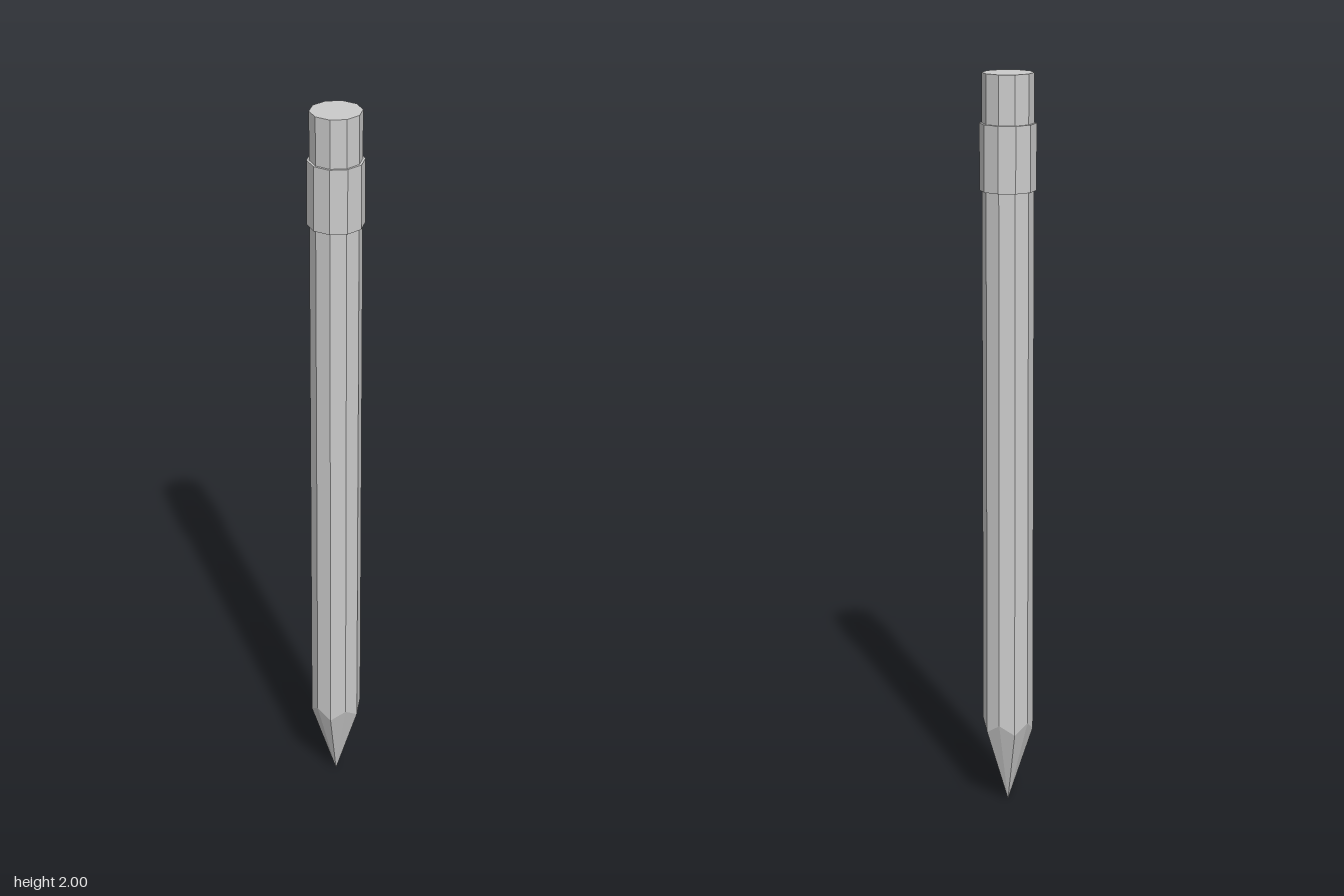
import * as THREE from 'three';

const SIDES = 10, R = 0.068, FERRULE_R = 0.0745;
const CUT_LOW = 0.21, CUT_HIGH = 0.237;

export function createModel() {
  const group = new THREE.Group();
  const material = new THREE.MeshStandardMaterial({ color: 0xcccccc, flatShading: true });

  // Ten-sided section between two heights, with a corner on the x axis
  const section = (name, rTop, rBottom, y0, y1, open) => {
    const geo = new THREE.CylinderGeometry(rTop, rBottom, y1 - y0, SIDES, 1, open, Math.PI / 2);
    geo.translate(0, (y0 + y1) / 2, 0);
    const mesh = new THREE.Mesh(geo, material);
    mesh.name = name;
    group.add(mesh);
    return geo;
  };

  // The sharpened cut has five facets: every other corner of its rim sits higher
  const scallop = (geo) => {
    const p = geo.attributes.position;
    for (let i = 0; i < p.count; i++) {
      if (Math.abs(p.getY(i) - CUT_LOW) > 1e-4) continue;
      const corner = Math.round(Math.atan2(p.getZ(i), p.getX(i)) / (Math.PI / 5));
      if (corner % 2 !== 0) p.setY(i, CUT_HIGH);
    }
    geo.computeVertexNormals();
  };

  scallop(section('sharpenedTip', R, 0, 0, CUT_LOW, true));
  scallop(section('shaft', R, R, CUT_LOW, 1.7, true));
  section('ferrule', FERRULE_R, FERRULE_R, 1.695, 1.87, false);
  section('eraser', R, R, 1.87, 2, false);

  return group;
}
